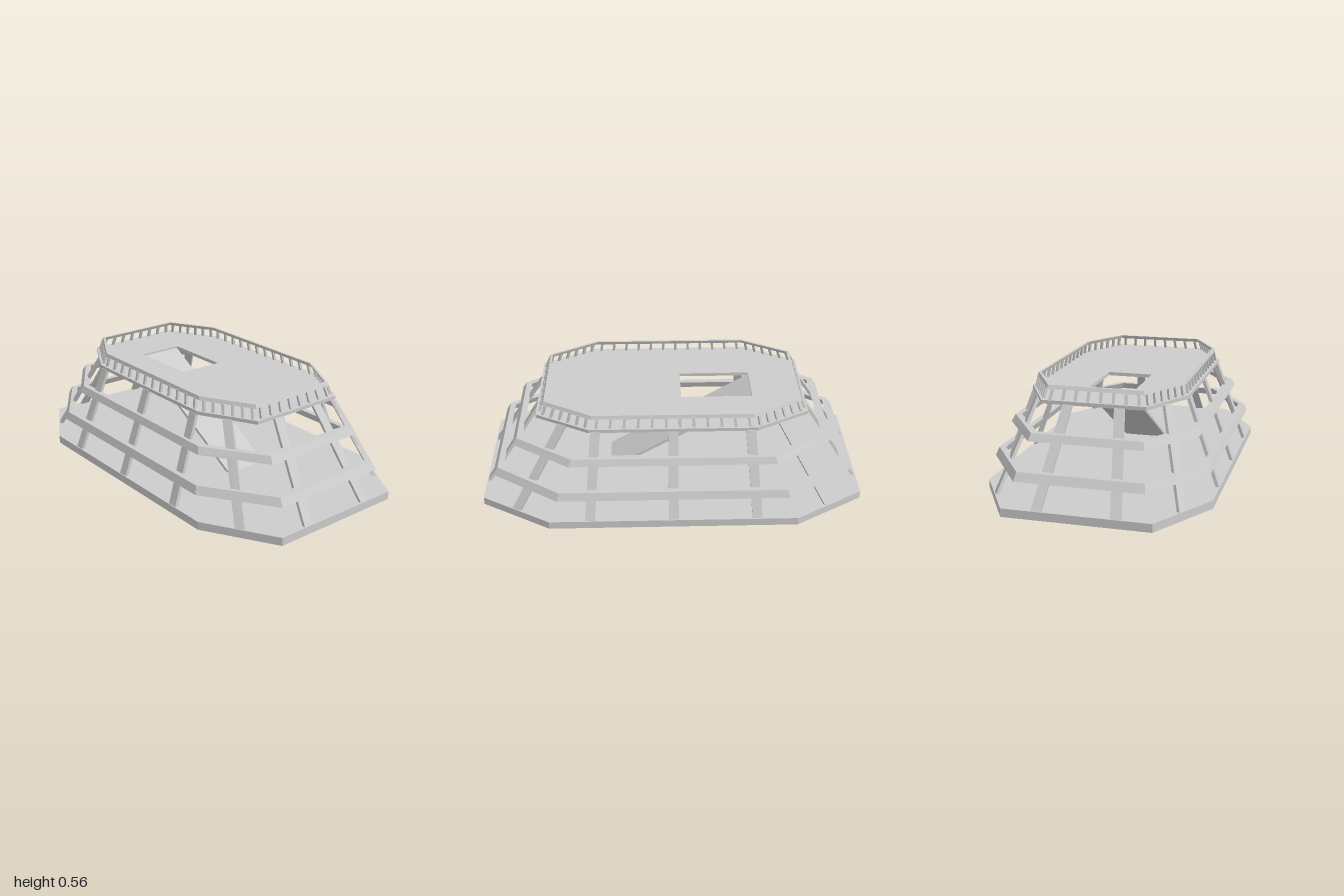
import * as THREE from 'three';
import { ConvexGeometry } from 'three/addons/geometries/ConvexGeometry.js';

const material = new THREE.MeshStandardMaterial({ color: 0xcccccc, flatShading: true });

// Chamfered rectangle: half sizes hx, hz; chamfer runs from (cx, hz) to (hx, cz)
const BASE = [0.575, 1.0, 0.365, 0.64];
const DECK = [0.407, 0.70, 0.26, 0.425];

function corners([hx, hz, cx, cz]) {
  return [[cx, hz], [hx, cz], [hx, -cz], [cx, -hz], [-cx, -hz], [-hx, -cz], [-hx, cz], [-cx, hz]];
}

// Moves every edge of the outline inward by t
function inset([hx, hz, cx, cz], t) {
  const len = Math.hypot(hz - cz, hx - cx);
  const nx = (hz - cz) / len, nz = (hx - cx) / len;
  const c = nx * cx + nz * hz - t;
  return [hx - t, hz - t, (c - nz * (hz - t)) / nx, (c - nx * (hx - t)) / nz];
}

function add(parent, name, geometry) {
  const mesh = new THREE.Mesh(geometry, material);
  mesh.name = name;
  parent.add(mesh);
  return mesh;
}

// Flat plate cut from an outline, with an optional rectangular hole
function plate(outline, y0, y1, hole) {
  const shape = new THREE.Shape(corners(outline).map(([x, z]) => new THREE.Vector2(x, -z)));
  if (hole) {
    const [x0, x1, z0, z1] = hole;
    shape.holes.push(new THREE.Path([[x0, -z0], [x1, -z0], [x1, -z1], [x0, -z1]]
      .map(([x, y]) => new THREE.Vector2(x, y))));
  }
  const geometry = new THREE.ExtrudeGeometry(shape, { depth: y1 - y0, bevelEnabled: false });
  return geometry.rotateX(-Math.PI / 2).translate(0, y0, 0);
}

// Closed leaning band between a lower and an upper outline
function band(lower, upper, y0, y1, t) {
  const loops = [[lower, y0], [upper, y1], [inset(upper, t), y1], [inset(lower, t), y0]]
    .map(([o, y]) => corners(o).map(([x, z]) => [x, y, z]));
  const pos = [];
  for (let k = 0; k < 4; k++) {
    const a = loops[k], b = loops[(k + 1) % 4];
    for (let i = 0; i < 8; i++) {
      const j = (i + 1) % 8;
      pos.push(...a[i], ...a[j], ...b[j], ...a[i], ...b[j], ...b[i]);
    }
  }
  const geometry = new THREE.BufferGeometry();
  geometry.setAttribute('position', new THREE.Float32BufferAttribute(pos, 3));
  geometry.computeVertexNormals();
  return geometry;
}

// Leaning bar on edge i, at fraction f0 of the lower edge and f1 of the upper edge
function bar(lower, upper, i, f0, f1, y0, y1, width, depth) {
  const points = [];
  for (const [outline, f, y] of [[lower, f0, y0], [upper, f1, y1]]) {
    const c = corners(outline), a = c[i], b = c[(i + 1) % 8];
    const len = Math.hypot(b[0] - a[0], b[1] - a[1]);
    const ux = (b[0] - a[0]) / len, uz = (b[1] - a[1]) / len;
    for (const s of [-width / 2, width / 2]) {
      for (const d of [0, depth]) {
        points.push(new THREE.Vector3(
          a[0] + (b[0] - a[0]) * f + ux * s - uz * -d, y,
          a[1] + (b[1] - a[1]) * f + uz * s - ux * d));
      }
    }
  }
  return new ConvexGeometry(points);
}

export function createModel() {
  const model = new THREE.Group();
  model.name = 'railedPlatform';

  add(model, 'baseSlab', plate(BASE, 0, 0.042));
  add(model, 'upperDeck', plate(DECK, 0.477, 0.495, [-0.125, 0.112, -0.425, -0.05]));

  // Leaning posts; edges run chamfer, side, chamfer, end and so on
  const posts = new THREE.Group();
  posts.name = 'posts';
  model.add(posts);
  const foot = inset(BASE, 0.004), head = inset(DECK, -0.002);
  for (let i = 0; i < 8; i++) {
    let spots = [[0.5, 0.5]];
    if (i % 4 === 1) spots = [[0.163, 0.04], [0.5, 0.5], [0.837, 0.96]];
    if (i % 4 === 3) spots = [[0.235, 0.255], [0.765, 0.745]];
    for (const [f0, f1] of spots) {
      add(posts, 'post', bar(foot, head, i, f0, f1, 0.04, 0.48, 0.05, 0.018));
    }
  }

  // Two outer bands around the posts
  add(model, 'lowerBand', band([0.553, 0.945, 0.318, 0.595], [0.538, 0.92, 0.31, 0.58], 0.159, 0.199, 0.032));
  add(model, 'middleBand', band([0.487, 0.833, 0.283, 0.53], [0.471, 0.81, 0.275, 0.515], 0.325, 0.36, 0.032));

  // Deck railing
  const railing = new THREE.Group();
  railing.name = 'railing';
  model.add(railing);
  const railLow = [0.386, 0.668, 0.243, 0.412], railHigh = [0.38, 0.658, 0.24, 0.406];
  add(railing, 'handrail', band(railLow, railHigh, 0.543, 0.561, 0.012));
  const balusterFoot = inset(DECK, 0.008), balusterHead = inset(railLow, -0.002);
  for (let i = 0; i < 8; i++) {
    const n = i % 2 === 0 ? 6 : i % 4 === 1 ? 12 : 8;
    for (let k = 0; k < n; k++) {
      const f = (k + 0.5) / n;
      add(railing, 'baluster', bar(balusterFoot, balusterHead, i, f, f, 0.49, 0.547, 0.013, 0.013));
    }
  }

  // Sloping ramp from the base up to the hatch
  const ramp = new THREE.Shape([[0.34, 0.04], [-0.425, 0.485], [-0.425, 0.468], [0.31, 0.04]]
    .map(([z, y]) => new THREE.Vector2(-z, y)));
  const rampGeometry = new THREE.ExtrudeGeometry(ramp, { depth: 0.237, bevelEnabled: false });
  add(model, 'ramp', rampGeometry.rotateY(Math.PI / 2).translate(-0.125, 0, 0));

  return model;
}
